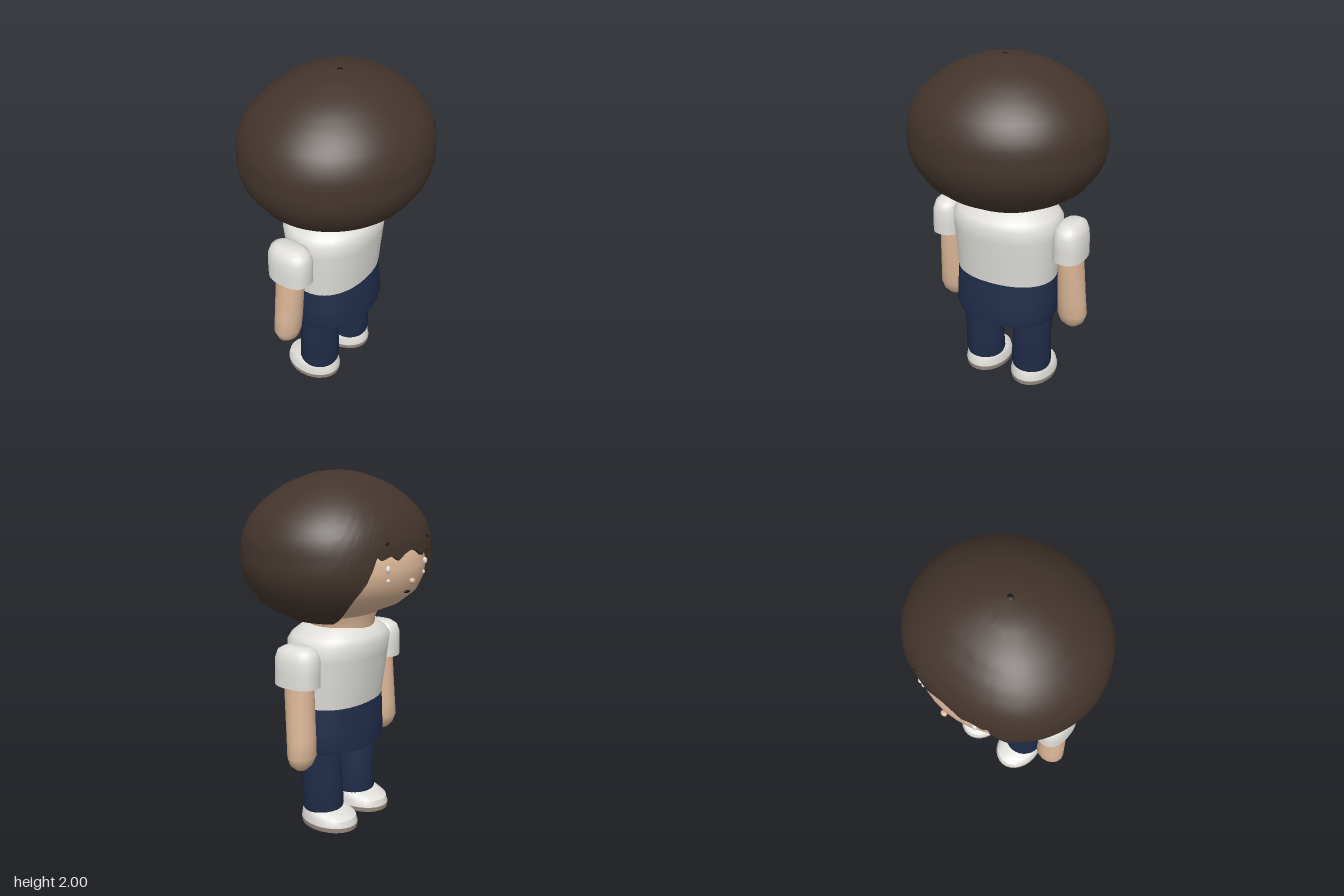
import * as THREE from 'three';
import { toCreasedNormals } from 'three/addons/utils/BufferGeometryUtils.js';

const mat = (name, color) => {
  const m = new THREE.MeshStandardMaterial({ color });
  m.name = name;
  return m;
};

// Linear look-up in a table of [input, output] pairs sorted by input
function lookUp(table, v) {
  for (let i = 1; i < table.length; i++) {
    const [a, fa] = table[i - 1], [b, fb] = table[i];
    if (v <= b) return fa + (fb - fa) * Math.max(0, (v - a) / (b - a));
  }
  return table[table.length - 1][1];
}

// Joins closed rows of points, listed from bottom to top
function surface(rows, crease = 0.8) {
  const n = rows[0].length, index = [];
  for (let k = 0; k < rows.length - 1; k++) {
    for (let i = 0; i < n; i++) {
      const a = k * n + i, b = k * n + (i + 1) % n;
      index.push(a, a + n, b, b, a + n, b + n);
    }
  }
  const g = new THREE.BufferGeometry();
  g.setAttribute('position', new THREE.Float32BufferAttribute(rows.flat(2), 3));
  g.setIndex(index);
  return toCreasedNormals(g, crease);
}

// One superellipse row in the horizontal plane
function ring(y, cx, cz, rx, rz, seg, power = 2) {
  const bend = (v) => Math.sign(v) * Math.pow(Math.abs(v), 2 / power);
  return Array.from({ length: seg }, (_, i) => {
    const a = (i / seg) * Math.PI * 2;
    return [cx + rx * bend(Math.cos(a)), y, cz + rz * bend(Math.sin(a))];
  });
}

// Capped loft through rings given as [y, cx, cz, rx, rz]
function loft(rings, seg = 28, power = 2) {
  const cap = ([y, cx, cz]) => [y, cx, cz, 0, 0];
  const all = [cap(rings[0]), ...rings, cap(rings[rings.length - 1])];
  return surface(all.map((r) => ring(...r, seg, power)));
}

// Mop of hair with a scalloped fringe and an opening for the face at -z
function hairGeometry() {
  const radius = [[1.21, 0.5], [1.225, 0.59], [1.32, 0.83], [1.43, 0.965], [1.52, 1], [1.65, 0.985],
    [1.72, 0.94], [1.78, 0.87], [1.85, 0.74], [1.915, 0.57], [1.95, 0.43], [1.985, 0.24], [1.995, 0.11], [2, 0]];
  const hem = [[0, 1.615], [6, 1.6], [12, 1.57], [17, 1.6], [24, 1.58], [28, 1.61],
    [31, 1.5], [40, 1.38], [47, 1.26], [54, 1.215], [180, 1.21]];
  const seg = 120, steps = 24, rows = [];
  for (let k = -2; k <= steps; k++) {
    const row = [];
    for (let i = 0; i < seg; i++) {
      const a = (i / seg) * Math.PI * 2, c = Math.cos(a), s = Math.sin(a);
      const fromFace = Math.acos(Math.min(1, Math.max(-1, -s))) * 180 / Math.PI;
      const low = lookUp(hem, fromFace);
      const t = Math.max(0, k) / steps;
      const y = low + (2 - low) * Math.sin(t * Math.PI / 2);
      // the two lowest rows fold inward to give the hair thickness
      const r = lookUp(radius, y) * (k < 0 ? 1 + 0.045 * k : 1);
      const squash = s < 0 ? Math.pow(Math.abs(c) ** 2.25 + Math.abs(s) ** 2.25, -1 / 2.25) : 1;
      const rz = s < 0 ? 0.487 : 0.508;
      row.push([0.553 * r * c * (s < 0 ? 1 + (squash - 1) * Math.abs(s) : 1), y + (k < -1 ? 0.03 : 0), rz * r * s * squash]);
    }
    rows.push(row);
  }
  return surface(rows, 0.9);
}

export function createModel() {
  const model = new THREE.Group();
  model.name = 'standingChild';
  const hair = mat('hair brown', 0x43352d);
  const skin = mat('skin', 0xdcb798);
  const white = mat('cloth white', 0xe0dfda);
  const navy = mat('trouser navy', 0x212e4b);
  const sole = mat('sole grey', 0x978b81);
  const black = mat('feature dark', 0x1c1614);

  const add = (name, geometry, material) => {
    const m = new THREE.Mesh(geometry, material);
    m.name = name;
    model.add(m);
    return m;
  };
  const blob = (name, material, pos, size) => {
    const m = add(name, new THREE.SphereGeometry(1, 14, 10), material);
    m.position.set(...pos);
    m.scale.set(...size);
    return m;
  };

  // Head
  add('hair', hairGeometry(), hair);
  add('head', loft([
    [1.2, 0, -0.03, 0.17, 0.15], [1.25, 0, -0.025, 0.25, 0.22], [1.3, 0, -0.02, 0.36, 0.34],
    [1.37, 0, -0.02, 0.43, 0.425], [1.45, 0, -0.02, 0.475, 0.46], [1.52, 0, -0.02, 0.49, 0.466],
    [1.6, 0, -0.015, 0.47, 0.45], [1.7, 0, 0, 0.42, 0.4], [1.85, 0, 0, 0.2, 0.2],
  ], 40), skin);
  add('neck', loft([[1.13, 0, -0.035, 0.19, 0.18], [1.2, 0, -0.035, 0.195, 0.185], [1.27, 0, -0.03, 0.24, 0.21]]), skin);
  blob('crownSwirl', black, [0, 1.997, 0.015], [0.017, 0.005, 0.014]);

  // Face
  blob('nose', skin, [0, 1.45, -0.488], [0.019, 0.016, 0.016]);
  blob('mouth', black, [0, 1.39, -0.458], [0.026, 0.008, 0.009]);

  // Clothes on the body
  add('shirt', loft([
    [0.73, 0, -0.01, 0.3, 0.215], [0.86, 0, -0.013, 0.308, 0.23], [1.0, 0, -0.015, 0.318, 0.247],
    [1.085, 0, -0.018, 0.32, 0.257], [1.12, 0, -0.02, 0.295, 0.24], [1.175, 0, -0.025, 0.21, 0.18],
  ], 36, 2.2), white);
  add('trouserTop', loft([
    [0.465, 0, -0.006, 0.295, 0.224], [0.5, 0, -0.006, 0.31, 0.228],
    [0.6, 0, -0.008, 0.307, 0.222], [0.73, 0, -0.01, 0.3, 0.215],
  ], 36, 2.2), navy);

  for (const s of [1, -1]) {
    const side = s > 0 ? 'left' : 'right';

    // Face details
    blob(side + 'Eye', white, [s * 0.18, 1.53, -0.455], [0.016, 0.019, 0.012]);
    blob(side + 'CheekDot', white, [s * 0.172, 1.47, -0.452], [0.011, 0.011, 0.009]);
    const brow = blob(side + 'Brow', black, [s * 0.18, 1.66, -0.449], [0.03, 0.009, 0.008]);
    brow.rotation.y = s * 0.35;

    // Arm and sleeve
    add(side + 'Arm', loft([
      [0.42, s * 0.4, -0.06, 0.035, 0.03], [0.45, s * 0.4, -0.06, 0.07, 0.058],
      [0.5, s * 0.399, -0.062, 0.088, 0.076], [0.6, s * 0.394, -0.055, 0.084, 0.079],
      [0.92, s * 0.384, -0.035, 0.073, 0.085], [1.0, s * 0.384, -0.035, 0.07, 0.08],
    ], 20), skin);
    add(side + 'Sleeve', loft([
      [0.895, s * 0.388, -0.03, 0.092, 0.13], [0.97, s * 0.388, -0.03, 0.091, 0.131],
      [1.04, s * 0.387, -0.03, 0.087, 0.131], [1.085, s * 0.386, -0.03, 0.073, 0.115],
      [1.105, s * 0.385, -0.03, 0.048, 0.08],
    ], 28, 2.4), white);

    // Leg and shoe
    add(side + 'Leg', loft([
      [0.09, s * 0.159, -0.02, 0.114, 0.114], [0.11, s * 0.159, -0.02, 0.121, 0.12],
      [0.33, s * 0.163, -0.014, 0.114, 0.116], [0.38, s * 0.168, -0.01, 0.117, 0.119],
      [0.5, s * 0.168, -0.008, 0.122, 0.122],
    ]), navy);
    add(side + 'Sole', loft([[0, s * 0.158, -0.066, 0.134, 0.174], [0.027, s * 0.158, -0.066, 0.137, 0.177]]), sole);
    const shoe = add(side + 'Shoe', loft([
      [0.027, s * 0.158, -0.066, 0.135, 0.175], [0.065, s * 0.158, -0.063, 0.13, 0.168],
      [0.085, s * 0.158, -0.045, 0.122, 0.14], [0.1, s * 0.158, -0.025, 0.11, 0.115],
    ]), white);
    shoe.position.y = 0;
  }
  return model;
}
